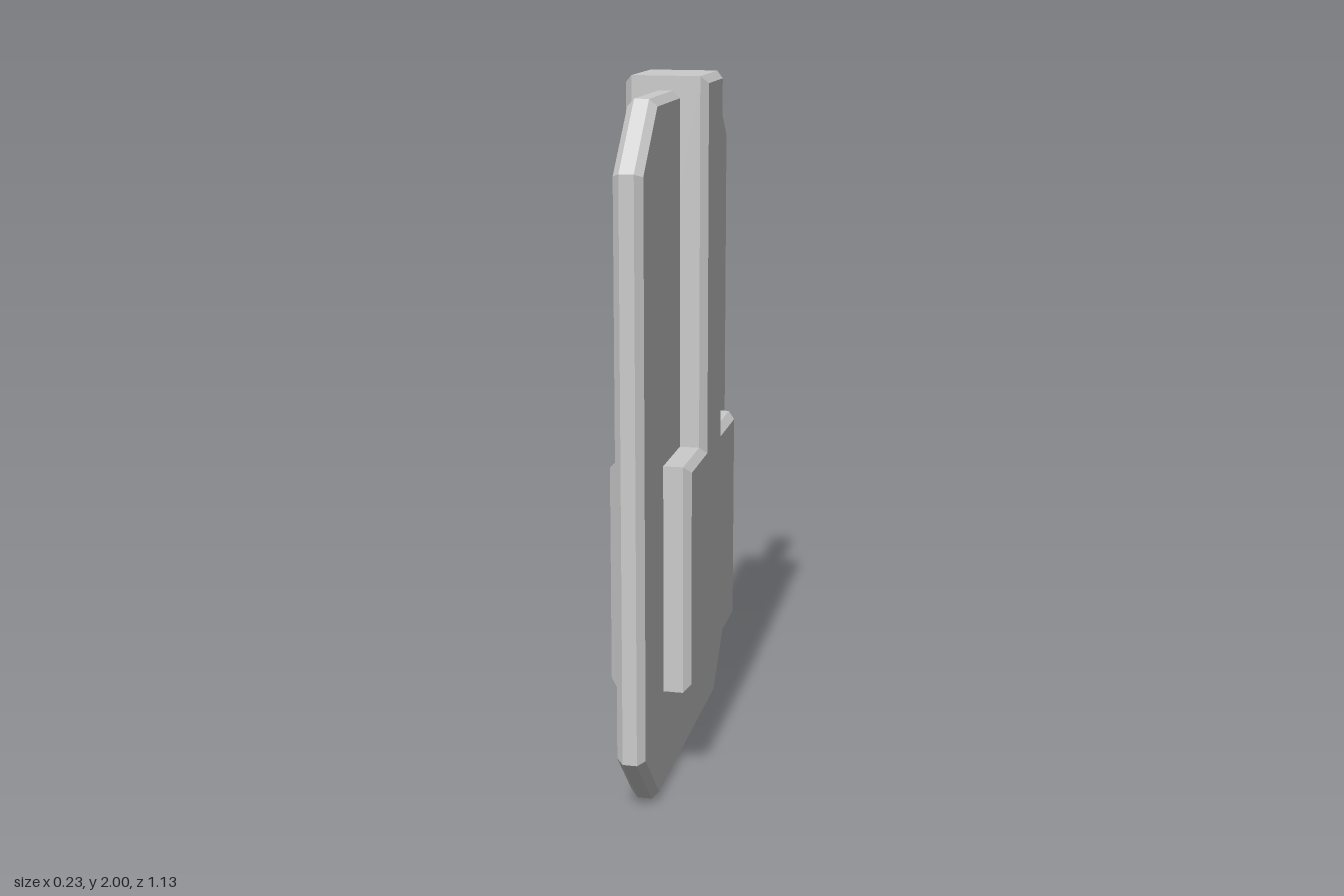
import * as THREE from 'three';

const BEVEL = 0.02;

// Chamfered slab: outline given as half profile [z, y] from bottom to top, mirrored in z
function slab(name, half, thickness, material) {
  const mirrored = half.map(([z, y]) => [-z, y]).reverse();
  const shape = new THREE.Shape([...half, ...mirrored].map(([z, y]) => new THREE.Vector2(z, y)));
  const depth = thickness - 2 * BEVEL;
  const geometry = new THREE.ExtrudeGeometry(shape, {
    depth,
    bevelEnabled: true,
    bevelThickness: BEVEL,
    bevelSize: BEVEL,
    bevelOffset: -BEVEL,
    bevelSegments: 1,
  });
  geometry.translate(0, 0, -depth / 2).rotateY(Math.PI / 2);
  const mesh = new THREE.Mesh(geometry, material);
  mesh.name = name;
  return mesh;
}

export function createModel() {
  const model = new THREE.Group();
  model.name = 'panel';
  const grey = new THREE.MeshStandardMaterial({ color: 0xcccccc, flatShading: true });

  // Thin plate with cut corners
  model.add(slab('plate', [[0.395, 0], [0.565, 0.175], [0.565, 1.785], [0.395, 1.96]], 0.08, grey));

  // Thicker block with a tall stem, passing through the plate
  model.add(slab('stemBlock', [[0.327, 0.3], [0.327, 0.96], [0.116, 0.96], [0.116, 2]], 0.232, grey));

  return model;
}
